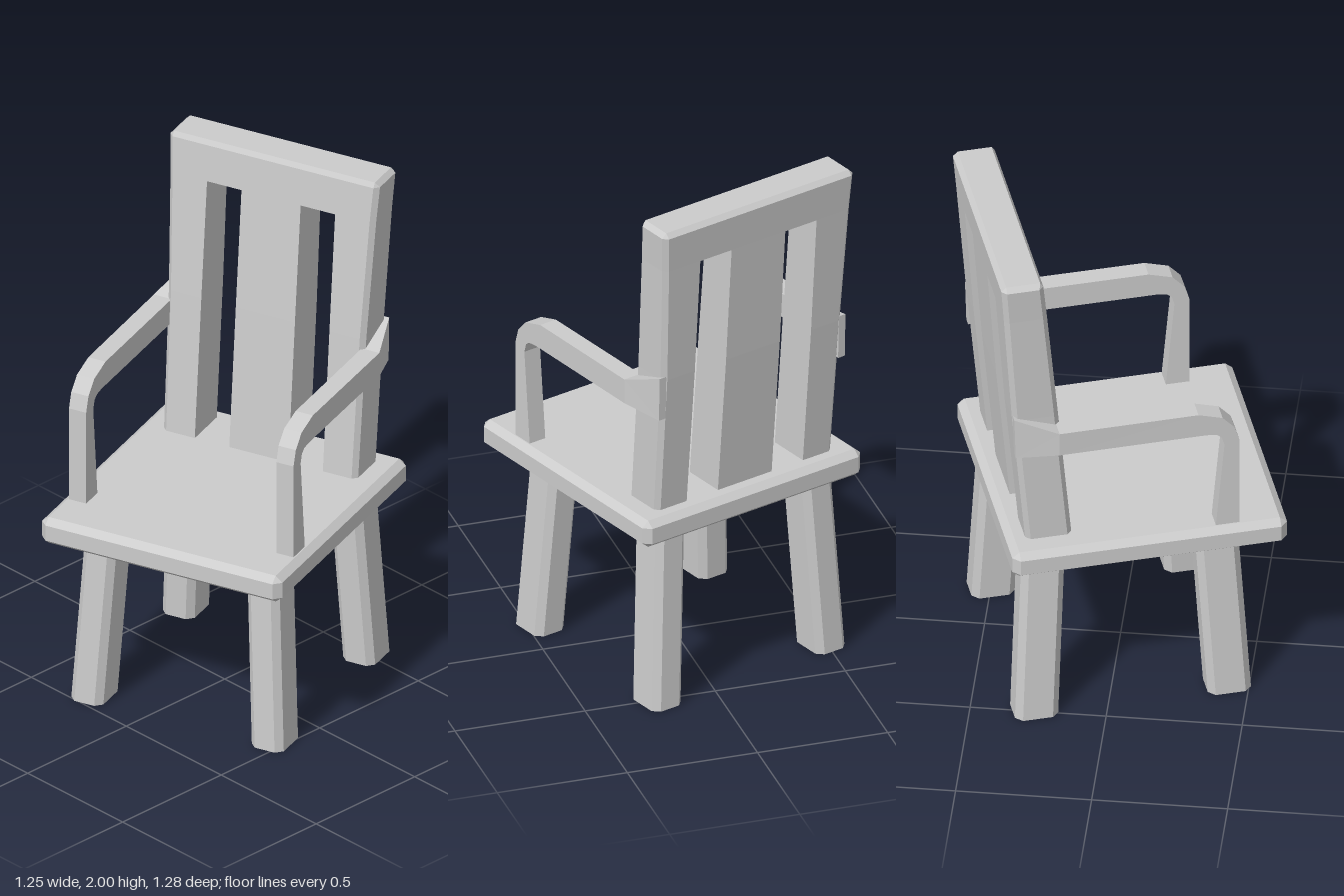
import * as THREE from 'three';

const material = new THREE.MeshStandardMaterial({ color: 0xcccccc, flatShading: true });

// Skin a list of equal-length rings of [x, y, z] points, with end caps.
function loft(rings) {
  const tris = [];
  const n = rings[0].length;
  for (let r = 0; r < rings.length - 1; r++) {
    const a = rings[r], b = rings[r + 1];
    for (let i = 0; i < n; i++) {
      const j = (i + 1) % n;
      tris.push([a[i], a[j], b[j]], [a[i], b[j], b[i]]);
    }
  }
  const first = rings[0], last = rings[rings.length - 1];
  for (let i = 1; i < n - 1; i++) {
    tris.push([first[0], first[i + 1], first[i]], [last[0], last[i], last[i + 1]]);
  }
  // A negative enclosed volume means the faces point inwards: turn them round.
  let volume = 0;
  for (const [p, q, s] of tris) {
    volume += p[0] * (q[1] * s[2] - q[2] * s[1])
      + p[1] * (q[2] * s[0] - q[0] * s[2])
      + p[2] * (q[0] * s[1] - q[1] * s[0]);
  }
  if (volume < 0) tris.forEach((t) => t.reverse());
  const geometry = new THREE.BufferGeometry();
  geometry.setAttribute('position', new THREE.Float32BufferAttribute(tris.flat(2), 3));
  geometry.computeVertexNormals();
  return geometry;
}

// Horizontal rectangle with chamfered corners; c0 and c1 chamfer the -x and +x ends.
function ring(y, x0, x1, z0, z1, c0, c1 = c0) {
  return [
    [x0 + c0, y, z0], [x1 - c1, y, z0], [x1, y, z0 + c1], [x1, y, z1 - c1],
    [x1 - c1, y, z1], [x0 + c0, y, z1], [x0, y, z1 - c0], [x0, y, z0 + c0],
  ];
}

const mirrorX = (rings, s) => rings.map((r) => r.map(([x, y, z]) => [x * s, y, z]));

export function createModel() {
  const model = new THREE.Group();
  model.name = 'armchair';
  const chair = new THREE.Group();
  chair.name = 'chair';
  chair.rotation.y = 0.322;
  model.add(chair);

  const add = (name, rings) => {
    const mesh = new THREE.Mesh(loft(rings), material);
    mesh.name = name;
    chair.add(mesh);
  };

  // Seat slab, bevelled on every edge
  const c = 0.027;
  const seatRing = (y, inset) => inset
    ? ring(y, -0.495 + c, 0.495 - c, -0.508 + c, 0.52 - c, 0)
    : ring(y, -0.495, 0.495, -0.508, 0.52, c);
  add('seat', [seatRing(0.7, true), seatRing(0.722, false), seatRing(0.785, false), seatRing(0.808, true)]);

  // Backrest section at each height: [y, outer half width, back z, front z]
  const levels = [
    [0.79, 0.4, -0.44, -0.267],
    [1.37, 0.407, -0.492, -0.32],
    [1.84, 0.424, -0.526, -0.365],
    [1.982, 0.432, -0.537, -0.38],
  ];
  const bevel = 0.018;
  const standing = levels.slice(0, 3);

  // Middle slat
  add('backSlat', standing.map(([y, , zb, zf]) => ring(y, -0.122, 0.122, zb, zf, 0)));

  // Top rail with bevelled upper edge
  const [yt, xt, zbt, zft] = levels[3];
  add('topRail', [
    ...levels.slice(2).map(([y, x, zb, zf]) => ring(y, -x, x, zb, zf, bevel)),
    ring(2, -xt + bevel, xt - bevel, zbt + bevel, zft - 0.012, 0),
  ]);

  // Arm section along its path: [top z, top y, underside z, underside y, outer x]
  const armPath = [
    [0.343, 0.79, 0.253, 0.79, 0.463],
    [0.343, 1.19, 0.287, 1.175, 0.463],
    [0.325, 1.25, 0.277, 1.21, 0.463],
    [0.28, 1.3, 0.258, 1.225, 0.463],
    [0.19, 1.328, 0.22, 1.23, 0.463],
    [-0.33, 1.328, -0.33, 1.23, 0.465],
    [-0.49, 1.385, -0.485, 1.21, 0.422],
  ];
  const armRings = armPath.map(([za, ya, zb, yb, x]) => [
    [0.392, ya, za], [x, ya, za], [x, yb, zb], [0.392, yb, zb],
  ]);

  const postRings = standing.map(([y, x, zb, zf]) => ring(y, 0.264, x, zb, zf, 0, bevel));

  // Splayed leg: chamfered section from the floor up into the seat
  const legRing = (y, x, z) => ring(y, x - 0.066, x + 0.066, z - 0.081, z + 0.081, 0.025);
  const frontLeg = [legRing(0, 0.372, 0.316), legRing(0.72, 0.332, 0.275)];
  const backLeg = [legRing(0, 0.372, -0.405), legRing(0.72, 0.332, -0.372)];

  for (const [side, s] of [['left', 1], ['right', -1]]) {
    add(side + 'BackPost', mirrorX(postRings, s));
    add(side + 'Arm', mirrorX(armRings, s));
    add(side + 'FrontLeg', mirrorX(frontLeg, s));
    add(side + 'BackLeg', mirrorX(backLeg, s));
  }

  return model;
}
